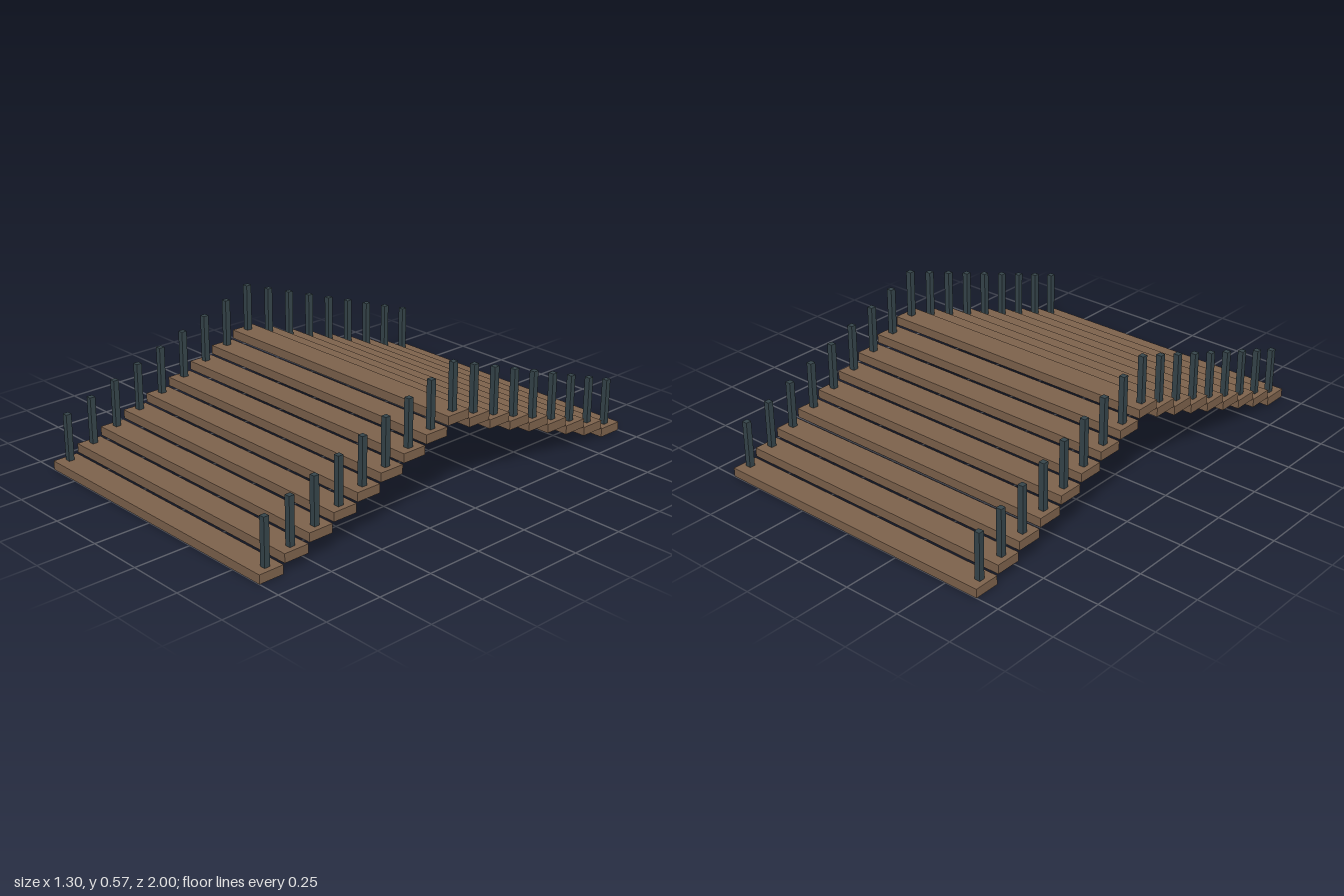
import * as THREE from 'three';

export function createModel() {
  const group = new THREE.Group();
  group.name = 'steppedBridge';

  const wood = new THREE.MeshStandardMaterial({ color: 0x7d624c });
  wood.name = 'brown wood';
  const iron = new THREE.MeshStandardMaterial({ color: 0x36454b });
  iron.name = 'dark slate';

  const half = 8;          // planks on each side of the crest
  const run = 0.118;       // spacing along z
  const rise = 0.0413;     // height gained per plank
  const thick = 0.038;
  const postHeight = 0.2025;

  const plankGeometry = new THREE.BoxGeometry(1.298, thick, 0.112);
  const postGeometry = new THREE.BoxGeometry(0.0245, postHeight, 0.0245);

  for (let i = -half; i <= half; i++) {
    const step = new THREE.Group();
    step.name = 'step';
    step.position.set(0, (half - Math.abs(i)) * rise, i * run);

    // Tread
    const plank = new THREE.Mesh(plankGeometry, wood);
    plank.name = 'plank';
    plank.position.y = thick / 2;
    step.add(plank);

    // Railing post at each end of the tread
    for (const side of [-1, 1]) {
      const post = new THREE.Mesh(postGeometry, iron);
      post.name = side > 0 ? 'leftPost' : 'rightPost';
      post.position.set(side * 0.614, thick + postHeight / 2, 0);
      step.add(post);
    }
    group.add(step);
  }
  return group;
}
